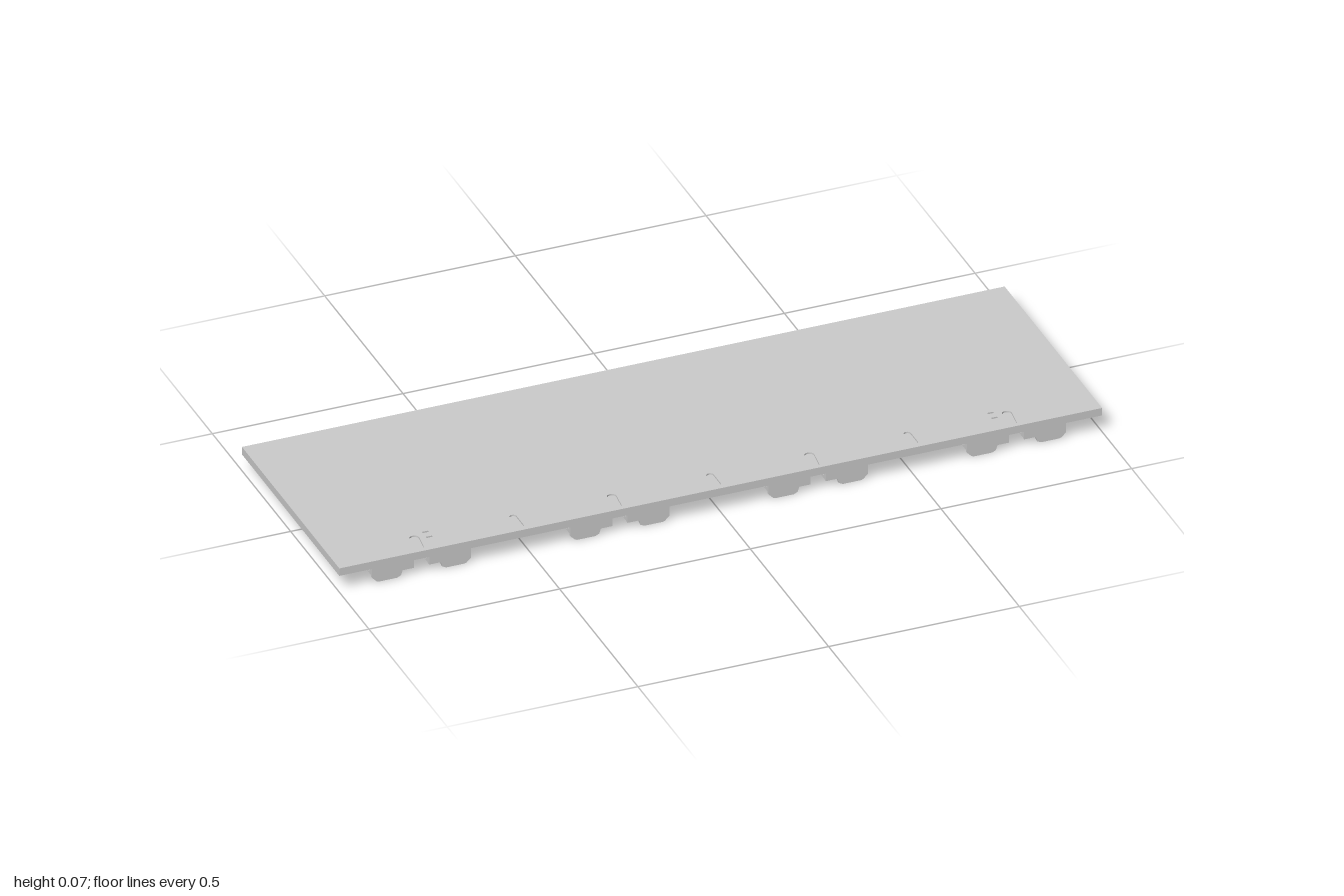
import * as THREE from 'three';

const TOP = 0.067, LOW = 0.046, HALF_D = 0.311, T = 0.004;

export function createModel() {
  const model = new THREE.Group();
  const material = new THREE.MeshStandardMaterial({ color: 0xcccccc, side: THREE.DoubleSide });

  const add = (name, geometry, parent = model) => {
    const mesh = new THREE.Mesh(geometry, material);
    mesh.name = name;
    parent.add(mesh);
    return mesh;
  };
  // Box given by its lower and upper limits
  const box = (name, x0, x1, y0, y1, z0, z1, parent) => {
    const mesh = add(name, new THREE.BoxGeometry(x1 - x0, y1 - y0, z1 - z0), parent);
    mesh.position.set((x0 + x1) / 2, (y0 + y1) / 2, (z0 + z1) / 2);
    return mesh;
  };
  const extrude = (shape, depth) =>
    new THREE.ExtrudeGeometry(shape, { depth, bevelEnabled: false, curveSegments: 8 });

  // Rounded slot running along v, with its own radius at each end
  const slot = (u, v0, v1, r0, r1) => {
    const path = new THREE.Path();
    path.absarc(u, v0 + r0, r0, Math.PI, Math.PI * 2, false);
    path.absarc(u, v1 - r1, r1, 0, Math.PI, false);
    path.closePath();
    return path;
  };

  // Top sheet with slots along the front
  const sheet = new THREE.Shape();
  sheet.moveTo(-1, -HALF_D).lineTo(1, -HALF_D).lineTo(1, HALF_D).lineTo(-1, HALF_D).closePath();
  for (const x of [-0.517, 0, 0.517]) sheet.holes.push(slot(x, 0.235, 0.298, 0.009, 0.009));
  for (const x of [-0.777, -0.259, 0.259, 0.777]) sheet.holes.push(slot(x, 0.235, 0.3, 0.012, 0.006));
  for (const s of [-1, 1]) {
    for (const z of [0.23, 0.255]) {
      const notch = new THREE.Path();
      const x = s * 0.741;
      notch.moveTo(x - 0.008, z - 0.003).lineTo(x + 0.008, z - 0.003);
      notch.lineTo(x + 0.008, z + 0.003).lineTo(x - 0.008, z + 0.003).closePath();
      sheet.holes.push(notch);
    }
  }
  const top = add('topSheet', extrude(sheet, T));
  top.rotation.x = Math.PI / 2;
  top.position.y = TOP;

  // Folded edges: outer walls and narrow return lips
  const under = TOP - T;
  for (const s of [-1, 1]) {
    const x0 = s > 0 ? 1 - T : -1;
    box('sideWall', x0, x0 + T, LOW, under, -HALF_D, HALF_D);
    const lip = s > 0 ? 0.982 : -1 + T;
    box('sideLip', lip, lip + 0.014, LOW, LOW + T, -HALF_D + T, 0.2);
  }
  box('backWall', -1 + T, 1 - T, LOW, under, -HALF_D, -HALF_D + T);
  box('backLip', -0.982, 0.982, LOW, LOW + T, -HALF_D + T, -HALF_D + 0.018);
  box('frontWall', -1 + T, 1 - T, LOW, under, HALF_D - T, HALF_D);

  // Closed box fold under the front, with a stepped stiffener behind it
  box('frontUnderside', -1 + T, 1 - T, LOW, LOW + T, 0.2, HALF_D - T);
  box('frontFoldWall', -0.982, 0.982, LOW + T, under, 0.2, 0.2 + T);
  box('stiffener', -0.982, 0.982, 0.054, 0.054 + T, 0.155, 0.2);
  box('stiffenerWall', -0.982, 0.982, 0.054 + T, under, 0.155, 0.155 + T);

  // Hook profile: outer end at u = 0, inner step at u = 0.11
  const hook = new THREE.Shape();
  hook.moveTo(0, LOW).lineTo(0, 0.014).lineTo(0.012, 0.002).lineTo(0.018, 0);
  hook.lineTo(0.066, 0).lineTo(0.076, 0.005).lineTo(0.08, 0.018);
  hook.lineTo(0.11, 0.018).lineTo(0.11, LOW).closePath();
  const hookGeometry = extrude(hook, 0.007);

  // Ear with a slot and a small hole
  const ear = new THREE.Shape();
  ear.moveTo(0, 0.019).lineTo(0.048, 0.019).lineTo(0.048, LOW).lineTo(0, LOW).closePath();
  const earSlot = new THREE.Path();
  earSlot.absarc(0.034, 0.03, 0.0025, -Math.PI / 2, Math.PI / 2, false);
  earSlot.absarc(0.014, 0.03, 0.0025, Math.PI / 2, Math.PI * 1.5, false);
  earSlot.closePath();
  const earHole = new THREE.Path();
  earHole.absarc(0.024, 0.0235, 0.0022, 0, Math.PI * 2, false);
  ear.holes.push(earSlot, earHole);
  const earGeometry = extrude(ear, 0.005);

  // Four mirrored pairs of hook brackets
  for (const centre of [-0.78, -0.26, 0.26, 0.78]) {
    for (const s of [-1, 1]) {
      const bracket = new THREE.Group();
      bracket.name = 'hookBracket';
      bracket.position.x = centre + s * 0.13;
      bracket.scale.x = -s;
      add('hookPlate', hookGeometry, bracket).position.z = 0.294;
      for (const u of [0, 0.105]) {
        const side = add('bracketEar', earGeometry, bracket);
        side.rotation.y = Math.PI / 2;
        side.position.set(u, 0, 0.299);
      }
      model.add(bracket);
    }
  }
  return model;
}
